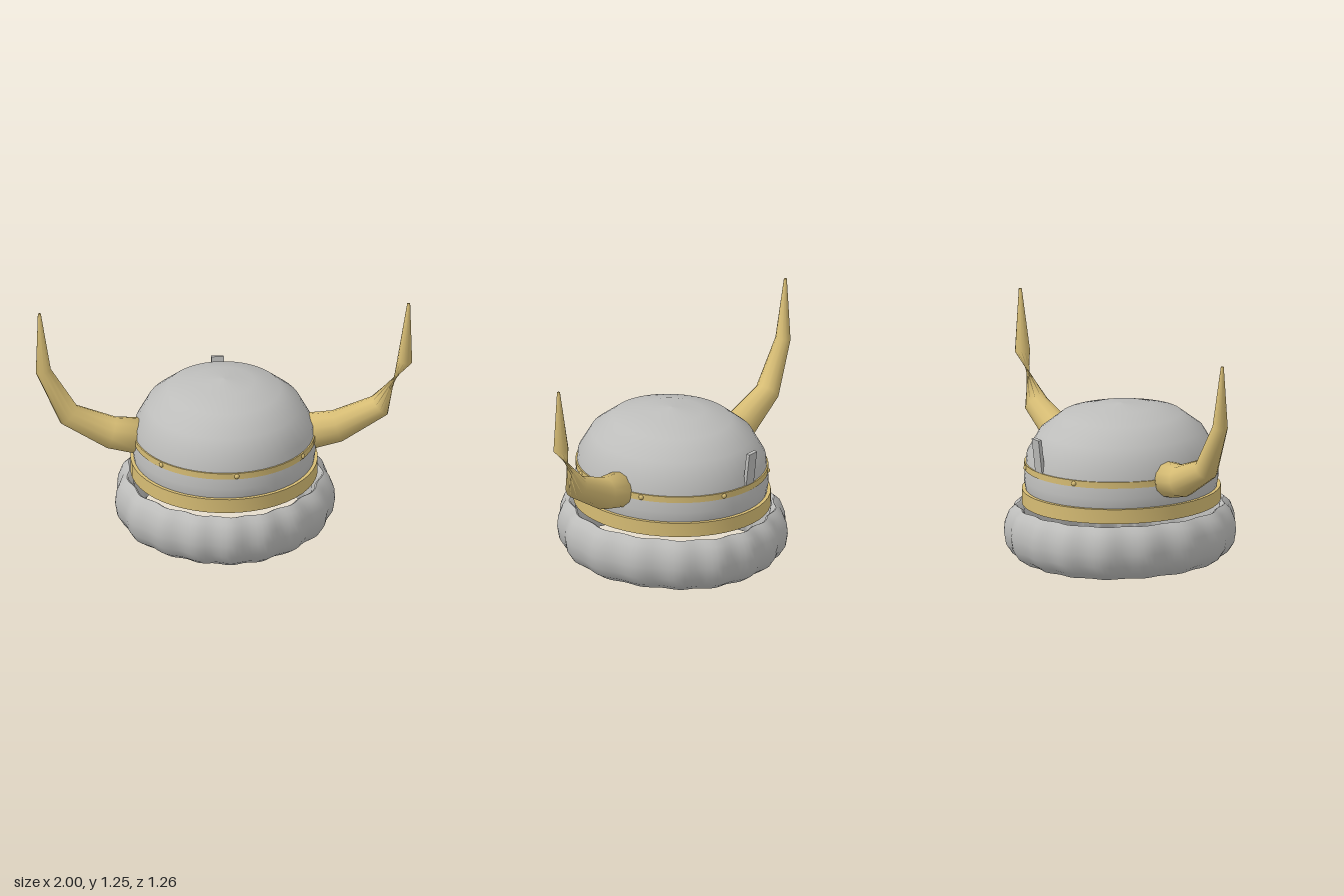
import * as THREE from 'three';
import { toCreasedNormals } from 'three/addons/utils/BufferGeometryUtils.js';

const OVAL = 0.92; // helmet width relative to its depth

// Skin a list of closed cross-sections; optionally join the last to the first.
function loft(rings, closed) {
  const n = rings[0].length, m = rings.length, index = [];
  for (let i = 0; i < (closed ? m : m - 1); i++) {
    for (let j = 0; j < n; j++) {
      const a = i * n + j, b = i * n + (j + 1) % n;
      const k = (i + 1) % m, c = k * n + (j + 1) % n, d = k * n + j;
      index.push(a, b, c, a, c, d);
    }
  }
  const geo = new THREE.BufferGeometry().setFromPoints(rings.flat());
  geo.setIndex(index);
  geo.computeVertexNormals();
  return geo;
}

// Oval lathe from [radius, y] points listed from the bottom up
function ovalLathe(points, segments = 48) {
  const geo = new THREE.LatheGeometry(points.map(p => new THREE.Vector2(p[0], p[1])), segments);
  return geo.scale(OVAL, 1, 1);
}

// Hoop with a rectangular section
function hoop(inner, outer, y0, y1) {
  const geo = ovalLathe([[inner, y0], [outer, y0], [outer, y1], [inner, y1], [inner, y0]]);
  return toCreasedNormals(geo, 0.7);
}

// Horn along a bent path; twist turns the outer sections around the path
function horn(side, twist) {
  const path = [
    [0.462, 0.52, 0.002], [0.465, 0.52, 0.097], [0.6, 0.542, 0.087],
    [0.825, 0.655, 0.065], [0.96, 0.914, 0.041], [0.981, 1.25, 0.008], [0.981, 1.251, 0.001],
  ];
  const rings = path.map(([x, y, r], i) => {
    const at = k => new THREE.Vector3(side * path[k][0], path[k][1], 0);
    const tan = new THREE.Vector3();
    if (i < 2) tan.subVectors(at(2), at(1)).normalize();
    else if (i > 4) tan.subVectors(at(5), at(4)).normalize();
    else {
      tan.subVectors(at(i + 1), at(i)).normalize();
      tan.add(at(i).sub(at(i - 1)).normalize()).normalize();
    }
    const u = new THREE.Vector3(-tan.y, tan.x, 0);
    const ring = [];
    for (let j = 0; j < 12; j++) {
      const a = j / 12 * Math.PI * 2 + (i > 3 ? twist : 0);
      ring.push(new THREE.Vector3(side * x, y, 0)
        .addScaledVector(u, r * Math.cos(a))
        .add(new THREE.Vector3(0, 0, r * Math.sin(a))));
    }
    return ring;
  });
  return loft(rings, false);
}

// Lumpy fur roll: a D-shaped section swept around an oval
function furRoll() {
  const section = [
    [-0.05, 0.295], [-0.015, 0.265], [0.008, 0.205], [0.013, 0.15], [0.002, 0.085],
    [-0.03, 0.035], [-0.083, 0], [-0.09, 0.005], [-0.085, 0.1], [-0.075, 0.2], [-0.06, 0.29],
  ];
  const rings = [];
  for (let i = 0; i < 128; i++) {
    const t = i / 128 * Math.PI * 2;
    const wave = 0.009 * Math.cos(17 * t + 0.8 * Math.sin(2 * t)) + 0.005 * Math.sin(5 * t + 1);
    rings.push(section.map(([r, y]) => new THREE.Vector3(
      (0.563 + r + wave) * Math.sin(t), y, (0.61 + r + wave) * Math.cos(t))));
  }
  return toCreasedNormals(loft(rings, true), 1);
}

export function createModel() {
  const gray = new THREE.MeshStandardMaterial({ color: 0xbdbdbb, side: THREE.DoubleSide });
  gray.name = 'softGray';
  const gold = new THREE.MeshStandardMaterial({ color: 0xd6bc74, side: THREE.DoubleSide });
  gold.name = 'paleGold';

  const model = new THREE.Group();
  model.name = 'hornedHelmet';
  const add = (name, geo, mat, parent = model) => {
    const mesh = new THREE.Mesh(geo, mat);
    mesh.name = name;
    parent.add(mesh);
    return mesh;
  };

  // Fur roll and dome
  add('furRoll', furRoll(), gray);
  add('dome', ovalLathe([
    [0.51, 0.34], [0.52, 0.385], [0.529, 0.44], [0.513, 0.58], [0.445, 0.695],
    [0.328, 0.783], [0.175, 0.822], [0, 0.84],
  ]), gray);

  // Brow band and the narrow band above it
  add('browBand', hoop(0.515, 0.54, 0.307, 0.385), gold);
  add('rivetBand', hoop(0.505, 0.527, 0.497, 0.531), gold);

  // Seven rivets around the narrow band
  const rivets = new THREE.Group();
  rivets.name = 'rivets';
  model.add(rivets);
  const rivetGeo = new THREE.SphereGeometry(0.014, 12, 8);
  for (let i = 0; i < 7; i++) {
    const a = 0.07 + i / 7 * Math.PI * 2;
    add('rivet', rivetGeo, gold, rivets)
      .position.set(0.524 * OVAL * Math.sin(a), 0.513, 0.524 * Math.cos(a));
  }

  // Horns, the left one wrung between its bends
  add('rightHorn', horn(-1, 0), gold);
  add('leftHorn', horn(1, Math.PI * 0.94), gold);

  // Small upright plate at the back
  const plate = add('backPlate', new THREE.BoxGeometry(0.066, 0.21, 0.02), gray);
  plate.position.set(0, 0.61, -0.523);
  plate.rotation.x = -0.12;

  return model;
}
